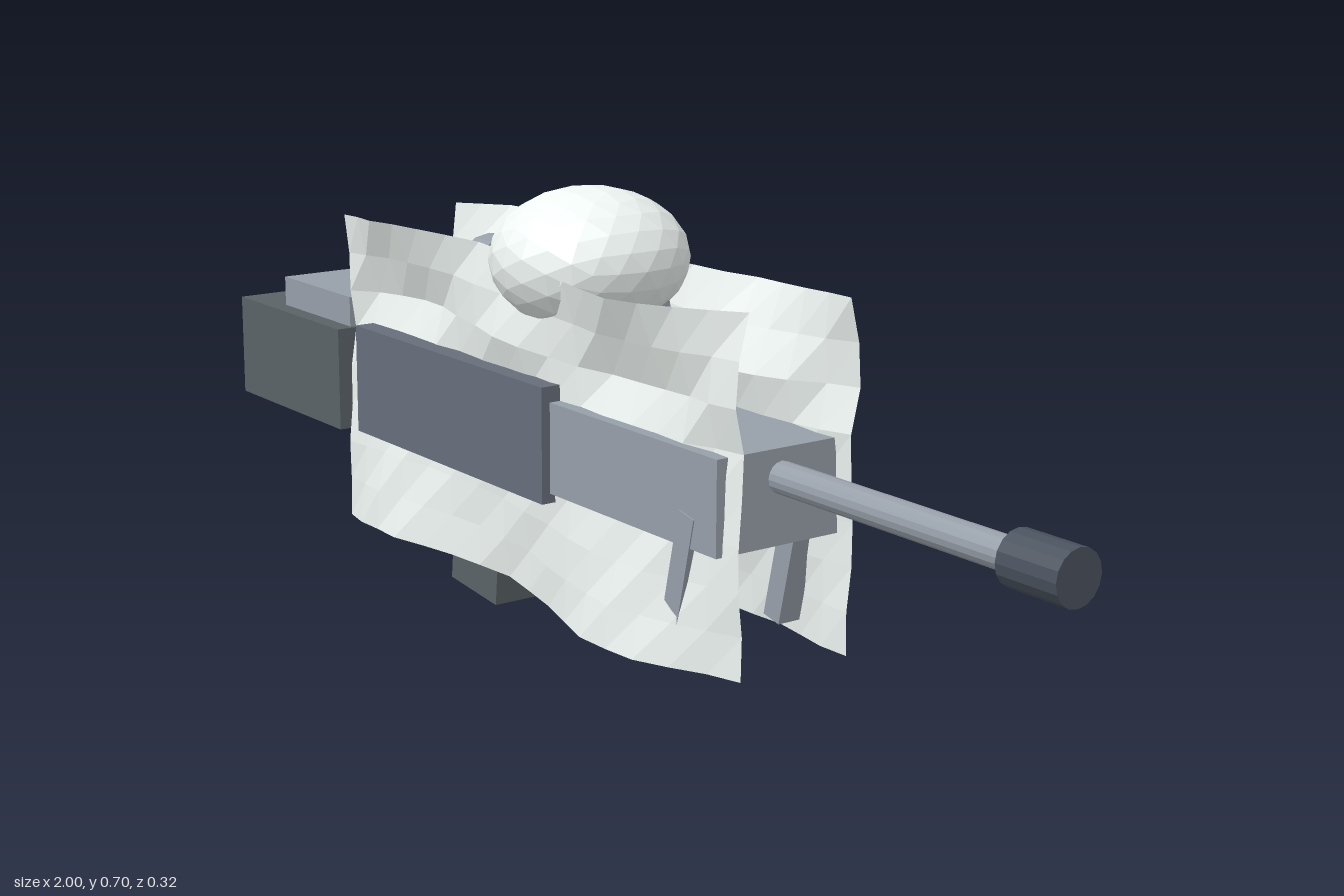
import * as THREE from 'three';

const material = (color, extra = {}) => {
  const m = new THREE.MeshStandardMaterial({ flatShading: true, ...extra });
  m.color.set(color);
  return m;
};
const stockMat = material(0x5a6367);
const receiverMat = material(0x676e7b);
const metalMat = material(0x979fa9);
const darkMat = material(0x4a525e);
const glassMat = material(0x9fb9c0);
const clothMat = material(0xeef5f2, { side: THREE.DoubleSide });

// linear interpolation through [position, value] pairs in rising order
function sample(points, t) {
  for (let i = 1; i < points.length; i++) {
    const [a, va] = points[i - 1], [b, vb] = points[i];
    if (t <= b || i === points.length - 1) return va + (vb - va) * (t - a) / (b - a);
  }
}

// drape depth from the middle plane, and how strongly it folds, by height
const DEPTH = [[0.066, 0.117], [0.17, 0.113], [0.26, 0.108], [0.33, 0.102], [0.396, 0.097], [0.46, 0.096], [0.53, 0.106], [0.594, 0.115]];
const FOLD = [[0.066, 0.026], [0.17, 0.014], [0.26, 0.004], [0.396, 0.002], [0.46, -0.021], [0.53, 0.002], [0.594, 0.024]];

function drapeGeometry(side) {
  const geo = new THREE.PlaneGeometry(1.07, 0.528, 16, 8);
  const p = geo.attributes.position;
  for (let i = 0; i < p.count; i++) {
    const x = p.getX(i) - 0.07;
    const y0 = p.getY(i) + 0.33;
    const y = y0 + 0.013 * Math.cos(6.3 * (x + 0.35));
    const crumple = 0.003 * Math.sin(37 * x + 53 * y0);
    const z = sample(DEPTH, y0) + sample(FOLD, y0) * Math.cos(10 * (x - 0.2)) + crumple;
    p.setXYZ(i, x, y, z * side);
  }
  geo.computeVertexNormals();
  return geo;
}

export function createModel() {
  const model = new THREE.Group();
  const add = (name, geo, mat, x, y, z = 0, tilt = 0) => {
    const mesh = new THREE.Mesh(geo, mat);
    mesh.name = name;
    mesh.position.set(x, y, z);
    mesh.rotation.z = tilt;
    model.add(mesh);
    return mesh;
  };
  // box given by its extents in x and y and its full depth
  const box = (name, mat, x0, x1, y0, y1, depth) =>
    add(name, new THREE.BoxGeometry(x1 - x0, y1 - y0, depth), mat, (x0 + x1) / 2, (y0 + y1) / 2);
  // round part lying along x
  const rod = (name, mat, x0, x1, r, y, sides = 16) => {
    const geo = new THREE.CylinderGeometry(r, r, x1 - x0, sides);
    geo.rotateZ(-Math.PI / 2);
    return add(name, geo, mat, (x0 + x1) / 2, y);
  };

  // body
  box('stock', stockMat, -1, -0.64, 0.21, 0.388, 0.22);
  box('cheekRest', metalMat, -0.885, -0.65, 0.38, 0.44, 0.16);
  box('receiver', receiverMat, -0.54, 0.02, 0.232, 0.415, 0.262);
  box('handguard', metalMat, 0.02, 0.43, 0.247, 0.39, 0.232);

  // barrel and muzzle
  rod('barrel', metalMat, 0.4, 0.91, 0.024, 0.347);
  rod('muzzle', darkMat, 0.895, 1, 0.04, 0.347);

  // grip and magazine under the receiver
  add('magazine', new THREE.BoxGeometry(0.135, 0.26, 0.15), stockMat, -0.255, 0.137, 0, -0.1);
  add('grip', new THREE.BoxGeometry(0.105, 0.22, 0.12), stockMat, -0.402, 0.165, 0, -0.25);

  // sight on its mount
  box('sightMount', metalMat, -0.2, -0.02, 0.41, 0.5, 0.104);
  rod('sightTube', glassMat, -0.29, 0.03, 0.058, 0.52);
  rod('sightEyepiece', metalMat, -0.325, -0.275, 0.07, 0.52);
  rod('sightFrontBell', metalMat, 0.0, 0.062, 0.08, 0.519);

  // faceted dome over the sight
  const dome = add('hood', new THREE.IcosahedronGeometry(1, 3), clothMat, -0.04, 0.591);
  dome.scale.set(0.15, 0.111, 0.159);

  // paired parts on each side
  for (const side of [1, -1]) {
    const label = side > 0 ? 'front' : 'back';
    add(label + 'Drape', drapeGeometry(side), clothMat, 0, 0);
    add(label + 'BipodLeg', new THREE.BoxGeometry(0.036, 0.21, 0.04), metalMat, 0.34, 0.193, side * 0.098, -0.22);
  }
  return model;
}
